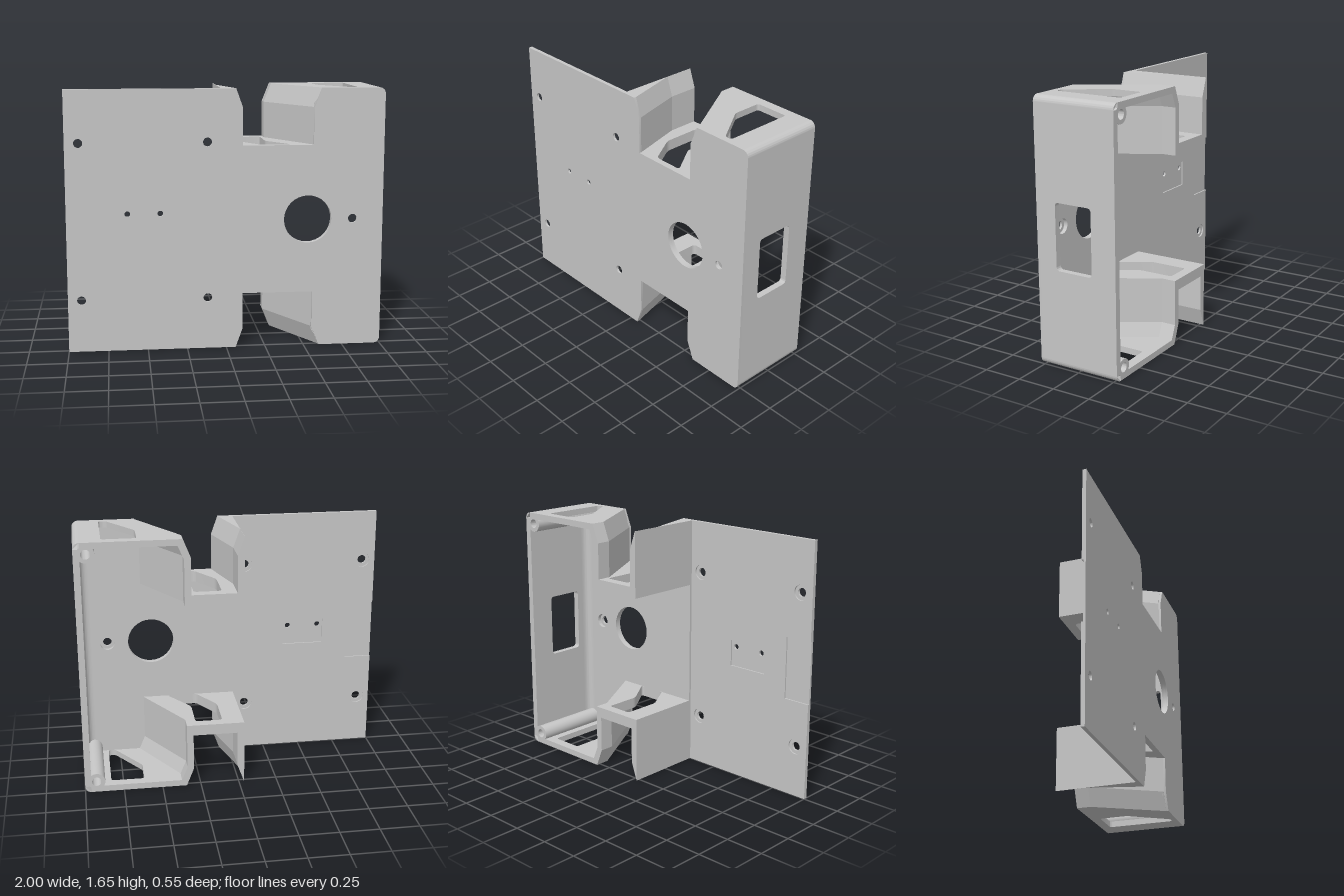
import * as THREE from 'three';
import { toCreasedNormals } from 'three/addons/utils/BufferGeometryUtils.js';

const H = 1.655;          // overall height
const MID = H / 2;
const BACK = -0.275, FRONT = 0.275, SKIN = 0.26, FLOOR = 0.235;
const WALL = 0.04;

// Closed outline with optionally rounded corners
function outline(pts, r = 0, Type = THREE.Shape) {
  const path = new Type();
  const n = pts.length;
  if (!r) return path.setFromPoints(pts.map(p => new THREE.Vector2(...p)));
  pts.forEach((p, i) => {
    const c = new THREE.Vector2(...p);
    const toward = q => {
      const d = new THREE.Vector2(...q).sub(c);
      return c.clone().add(d.setLength(Math.min(r, d.length() / 2)));
    };
    const a = toward(pts[(i + n - 1) % n]), b = toward(pts[(i + 1) % n]);
    if (i) path.lineTo(a.x, a.y); else path.moveTo(a.x, a.y);
    path.quadraticCurveTo(c.x, c.y, b.x, b.y);
  });
  path.closePath();
  return path;
}
const circle = (x, y, r) => new THREE.Path().absarc(x, y, r, 0, Math.PI * 2, true);
const rect = (x0, x1, y0, y1) => [[x0, y0], [x1, y0], [x1, y1], [x0, y1]];

function extrude(shape, from, to) {
  const g = new THREE.ExtrudeGeometry(shape, { depth: to - from, bevelEnabled: false, curveSegments: 16 });
  return g.translate(0, 0, from);
}
const alongZ = (shape, z0, z1) => toCreasedNormals(extrude(shape, z0, z1), 0.6);
// Shapes for alongY are drawn in (x, -z), for alongX in (-z, y)
const alongY = (shape, y0, y1) => toCreasedNormals(extrude(shape, y0, y1).rotateX(-Math.PI / 2), 0.6);
const alongX = (shape, x0, x1) => toCreasedNormals(extrude(shape, x0, x1).rotateY(Math.PI / 2), 0.6);
// Plan points (x, z) turned into a counter-clockwise (x, -z) loop
const plan = pts => pts.map(([x, z]) => [x, -z]).reverse();

// Solid through matching xy sections at rising z
function loft(sections) {
  const pos = [];
  const put = (s, i) => pos.push(s.pts[i][0], s.pts[i][1], s.z);
  const n = sections[0].pts.length;
  for (let k = 0; k + 1 < sections.length; k++) {
    const a = sections[k], b = sections[k + 1];
    for (let i = 0; i < n; i++) {
      const j = (i + 1) % n;
      put(a, i); put(a, j); put(b, j);
      put(a, i); put(b, j); put(b, i);
    }
  }
  const first = sections[0], last = sections[sections.length - 1];
  for (const [s, flip] of [[first, true], [last, false]]) {
    const tris = THREE.ShapeUtils.triangulateShape(s.pts.map(p => new THREE.Vector2(...p)), []);
    for (const t of tris) (flip ? [t[2], t[1], t[0]] : t).forEach(i => put(s, i));
  }
  const g = new THREE.BufferGeometry();
  g.setAttribute('position', new THREE.Float32BufferAttribute(pos, 3));
  g.computeVertexNormals();
  return g;
}

export function createModel() {
  const group = new THREE.Group();
  const grey = new THREE.MeshStandardMaterial({ color: 0xc6c6c6 });
  grey.name = 'light grey plastic';
  const add = (name, geometry) => {
    const m = new THREE.Mesh(geometry, grey);
    m.name = name;
    group.add(m);
  };

  // Front skin with chamfered notches and rounded right corners
  const skin = new THREE.Shape();
  skin.moveTo(-1, 0);
  [[0.06, 0], [0.103, 0.12], [0.103, 0.355], [0.55, 0.355], [0.55, 0.12], [0.6, 0], [1 - WALL, 0]]
    .forEach(p => skin.lineTo(...p));
  skin.absarc(1 - WALL, WALL, WALL, -Math.PI / 2, 0, false);
  skin.absarc(1 - WALL, H - WALL, WALL, 0, Math.PI / 2, false);
  [[0.6, H], [0.55, H - 0.12], [0.55, H - 0.355], [0.103, H - 0.355], [0.103, H - 0.12], [0.06, H], [-1, H]]
    .forEach(p => skin.lineTo(...p));
  const screws = [[-0.915, 1.325], [-0.118, 1.325], [-0.915, 0.332], [-0.118, 0.332]];
  screws.forEach(([x, y]) => skin.holes.push(circle(x, y, 0.028)));
  [-0.62, -0.415].forEach(x => skin.holes.push(circle(x, 0.88, 0.018)));
  skin.holes.push(circle(0.517, MID, 0.152), circle(0.805, MID, 0.028));
  add('frontPlate', alongZ(skin, SKIN, FRONT));

  // Back layer of the thin plate: counterbores and shallow recesses
  const layer = outline([[-1, 0], [-0.035, 0], [-0.035, H], [-1, H],
    [-1, 1.03], [-0.82, 1.03], [-0.82, 0.63], [-1, 0.63]]);
  screws.forEach(([x, y]) => layer.holes.push(circle(x, y, 0.05)));
  layer.holes.push(outline(rect(-0.655, -0.38, 0.75, 0.92), 0, THREE.Path));
  add('plateBackLayer', alongZ(layer, 0.25, SKIN));

  // Thicker floor inside the housing
  const floor = outline([[-0.035, 0.36], [0.55, 0.36], [0.55, 0.1], [0.6, 0.02], [0.97, 0.02],
    [0.97, H - 0.02], [0.6, H - 0.02], [0.55, H - 0.1], [0.55, H - 0.36], [-0.035, H - 0.36]]);
  floor.holes.push(circle(0.517, MID, 0.152), circle(0.805, MID, 0.048));
  add('housingFloor', alongZ(floor, FLOOR, SKIN));

  // Side wall with its window, and the fillet along the floor
  const side = outline(rect(-SKIN, -BACK, WALL, H - WALL));
  side.holes.push(outline(rect(-0.14, 0.11, 0.62, 1.037), 0.025, THREE.Path));
  add('sideWall', alongX(side, 1 - WALL, 1));
  const fillet = new THREE.Shape();
  fillet.moveTo(0.91, -FLOOR);
  fillet.lineTo(0.965, -FLOOR);
  fillet.lineTo(0.965, -0.185);
  fillet.lineTo(0.96, -0.185);
  fillet.quadraticCurveTo(0.96, -FLOOR, 0.91, -FLOOR);
  add('floorFillet', alongY(fillet, WALL, H - WALL));

  // Parts repeated at the top and the bottom
  for (const top of [true, false]) {
    const tag = top ? 'upper' : 'lower';
    const my = y => (top ? y : H - y);
    const span = (shape, y0, y1) => alongY(shape, Math.min(my(y0), my(y1)), Math.max(my(y0), my(y1)));
    const walls = (stations, profile) => loft(stations.map(([z, s]) => {
      const pts = profile(s).map(([x, y]) => [x, my(y)]);
      return { z, pts: top ? pts : pts.reverse() };
    }));

    // Left notch wall: a wedge with a chamfered top
    add(tag + 'LeftNotchWall', walls(
      [[BACK, 0.009], [-0.08, 0.009], [SKIN, 0.103]],
      s => [[-0.035, 1.23], [s, 1.23], [s, H - 0.12], [s - 0.043, H], [-0.035, H]]));

    // Right notch wall: slanted, leaning over at the chamfer
    add(tag + 'RightNotchWall', walls(
      [[BACK, 0.295], [-0.18, 0.295], [SKIN, 0.55]],
      s => [[s, 1.23], [s + 0.042, 1.23], [s + 0.042, 1.525], [s + 0.08, H - WALL],
        [s + 0.08, H], [s + 0.048, H], [s, H - 0.12]]));

    // Shelf at the bottom of the notch
    const shelf = outline(plan([[-0.035, BACK], [0.32, BACK], [0.32, -0.18], [0.565, SKIN], [-0.035, SKIN]]));
    shelf.holes.push(outline(plan([[0.1, -0.21], [0.275, -0.21], [0.275, 0.03], [0.415, 0.235],
      [0.22, 0.235], [0.1, 0.04]]), 0.025, THREE.Path));
    add(tag + 'Shelf', span(shelf, 1.23, 1.3));

    // End wall of the housing with its slot
    const end = outline(plan([[0.345, BACK], [1 - WALL, BACK], [1 - WALL, SKIN], [0.6, SKIN], [0.345, -0.18]]));
    end.holes.push(outline(plan([[0.615, -0.21], [0.83, -0.21], [0.83, 0.235], [0.785, 0.235],
      [0.615, -0.02]]), 0.02, THREE.Path));
    add(tag + 'EndWall', span(end, H - WALL, H));

    // Rounded outer corner
    const corner = new THREE.Shape();
    corner.moveTo(1 - WALL, my(H - WALL));
    corner.absarc(1 - WALL, my(H - WALL), WALL, top ? 0 : -Math.PI / 2, top ? Math.PI / 2 : 0, false);
    add(tag + 'Corner', alongZ(corner, BACK, SKIN));

    // Screw post in the corner
    const post = new THREE.Shape().absarc(0.925, my(1.583), 0.055, 0, Math.PI * 2, false);
    post.holes.push(circle(0.925, my(1.583), 0.03));
    add(tag + 'ScrewPost', alongZ(post, BACK, FLOOR));
  }
  return group;
}
